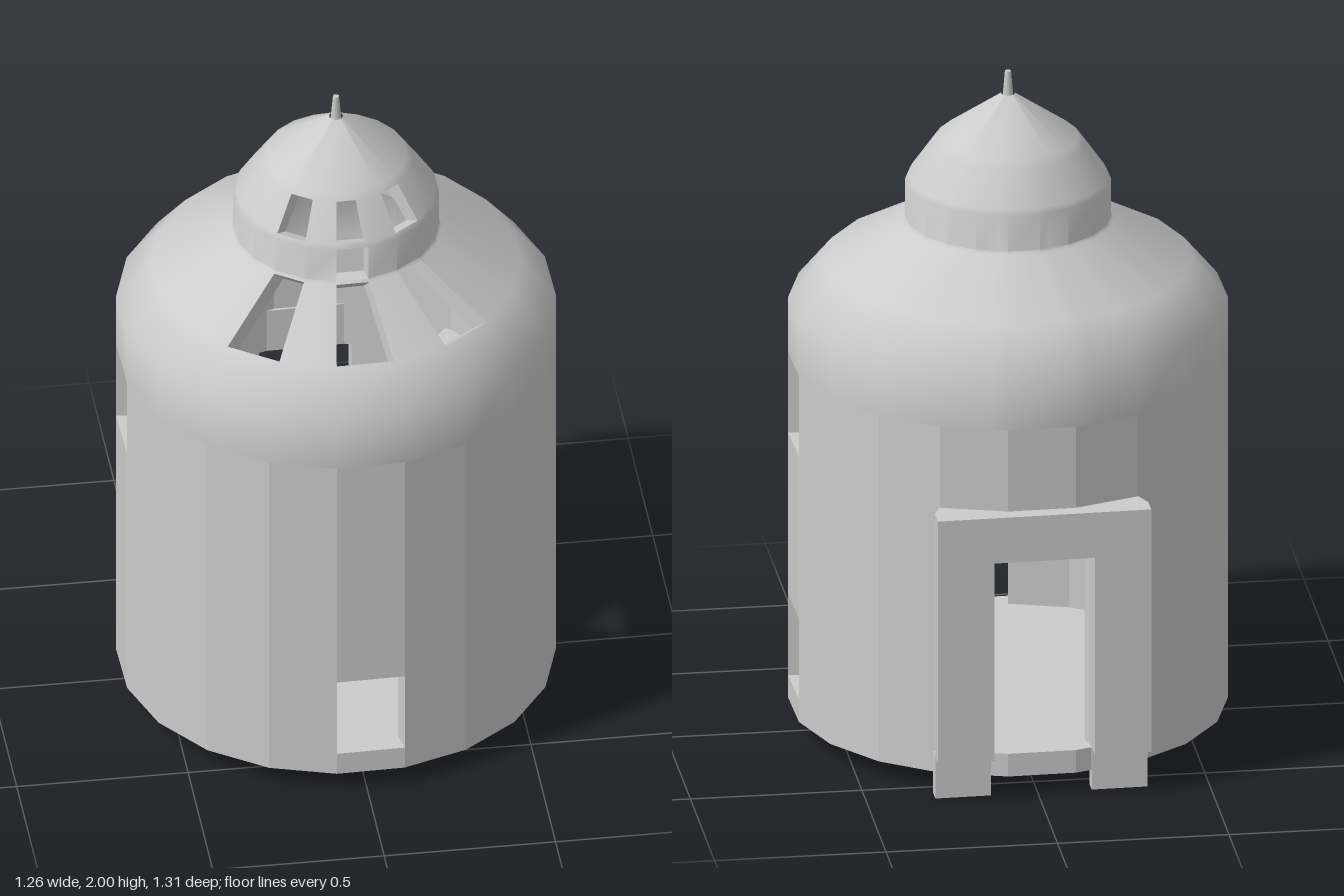
import * as THREE from 'three';
import { toCreasedNormals } from 'three/addons/utils/BufferGeometryUtils.js';

const SIDES = 20, STEP = (Math.PI * 2) / SIDES, DOOR = THREE.MathUtils.degToRad(14);
const material = new THREE.MeshStandardMaterial({ color: 0xcccccc });
const flat = new THREE.MeshStandardMaterial({ color: 0xcccccc, flatShading: true });

// Shell levels: [outer radius, outer y, inner radius, inner y]
const LEVELS = [
  [0.635, 0.13, 0.57, 0.13], [0.635, 0.38, 0.57, 0.38], [0.635, 0.74, 0.57, 0.74],
  [0.635, 0.88, 0.57, 0.88], [0.635, 1.13, 0.57, 1.13], [0.635, 1.3, 0.57, 1.28],
  [0.535, 1.42, 0.485, 1.38], [0.305, 1.547, 0.26, 1.505], [0.298, 1.555, 0.255, 1.555],
  [0.298, 1.665, 0.255, 1.655], [0.29, 1.68, 0.25, 1.665], [0.22, 1.78, 0.18, 1.755],
  [0.205, 1.8, 0.165, 1.775], [0.02, 1.93, 0.01, 1.88],
];

// Column angles: one per facet edge, plus the two door jambs
const ANGLES = [];
for (let i = 0; i <= SIDES; i++) ANGLES.push((i - 0.5) * STEP);
ANGLES.push(Math.PI - DOOR, Math.PI + DOOR);
ANGLES.sort((a, b) => a - b);
const COLUMNS = ANGLES.length - 1;

// Which cells of the shell are openings
function isOpen(level, column) {
  const c = (column + COLUMNS) % COLUMNS;
  const mid = (ANGLES[c] + ANGLES[c + 1]) / 2;
  const facet = Math.round(mid / STEP);
  const front = facet === 0, right = facet === 5, left = facet === 15;
  const fan = front || facet === 2 || facet === 18;
  if (Math.abs(mid - Math.PI) < DOOR && level < 2) return true; // doorway
  if (level === 0) return front || right;                       // lower windows
  if (level === 3) return left || right;                        // upper windows
  if (level === 6 || level === 10) return fan;                  // roof and dome lights
  return level === 8 && front;                                  // small drum window
}

// Point on a flat-sided ring
function ringPoint(radius, angle, y) {
  const off = angle - Math.round(angle / STEP) * STEP;
  const r = (radius * Math.cos(STEP / 2)) / Math.cos(off);
  return [r * Math.sin(angle), y, r * Math.cos(angle)];
}

// Thick shell between two levels, with reveals around its openings
function shell(from, to) {
  const pos = [];
  const quad = (a, b, c, d) => pos.push(...a, ...b, ...c, ...a, ...c, ...d);
  for (let j = from; j < to; j++) {
    for (let c = 0; c < COLUMNS; c++) {
      if (isOpen(j, c)) continue;
      const corner = (level, col, k) => ringPoint(LEVELS[level][k], ANGLES[col], LEVELS[level][k + 1]);
      const [oA, oB, oC, oD] = [corner(j, c, 0), corner(j, c + 1, 0), corner(j + 1, c + 1, 0), corner(j + 1, c, 0)];
      const [iA, iB, iC, iD] = [corner(j, c, 2), corner(j, c + 1, 2), corner(j + 1, c + 1, 2), corner(j + 1, c, 2)];
      quad(oA, oB, oC, oD);
      quad(iB, iA, iD, iC);
      if (isOpen(j, c + 1)) quad(oB, iB, iC, oC);
      if (isOpen(j, c - 1)) quad(iA, oA, oD, iD);
      if (isOpen(j + 1, c)) quad(oD, oC, iC, iD);
      if (j > 0 && isOpen(j - 1, c)) quad(iA, iB, oB, oA);
    }
  }
  const geo = new THREE.BufferGeometry();
  geo.setAttribute('position', new THREE.Float32BufferAttribute(pos, 3));
  geo.computeVertexNormals();
  return geo;
}

export function createModel() {
  const model = new THREE.Group();
  model.name = 'tower';
  const tower = new THREE.Group();
  tower.name = 'towerBody';
  tower.position.z = 0.025;
  tower.rotation.y = 0.018;
  model.add(tower);
  const add = (name, geo, mat = flat) => {
    const mesh = new THREE.Mesh(geo, mat);
    mesh.name = name;
    tower.add(mesh);
    return mesh;
  };

  // Faceted wall, then the smooth shoulder roof, drum and dome
  add('wall', shell(0, 4));
  add('roofAndDome', toCreasedNormals(shell(4, LEVELS.length - 1), 0.75), material);

  // Ground floor slab
  const base = add('groundFloor', new THREE.CylinderGeometry(0.635, 0.635, 0.07, SIDES));
  base.rotation.y = STEP / 2;
  base.position.y = 0.095;

  // Ring balcony, open above the door
  const gap = 0.75, ring = new THREE.Shape();
  ring.absarc(0, 0, 0.575, Math.PI / 2 + gap, Math.PI * 2.5 - gap, false);
  ring.absarc(0, 0, 0.385, Math.PI * 2.5 - gap, Math.PI / 2 + gap, true);
  const balcony = add('balcony', new THREE.ExtrudeGeometry(ring, { depth: 0.05, bevelEnabled: false, curveSegments: 20 }));
  balcony.rotation.x = -Math.PI / 2;
  balcony.position.y = 0.81;

  // Door surround: an upside-down U whose sides narrow toward the wall
  const surround = new THREE.Shape([
    [-0.312, 0.13], [-0.147, 0.13], [-0.147, 0.74], [0.147, 0.74],
    [0.147, 0.13], [0.312, 0.13], [0.312, 0.88], [-0.312, 0.88],
  ].map(([x, y]) => new THREE.Vector2(x, y)));
  const frame = new THREE.ExtrudeGeometry(surround, { depth: 0.12, steps: 2, bevelEnabled: false });
  const p = frame.attributes.position;
  for (let i = 0; i < p.count; i++) {
    if (p.getZ(i) > 0.1 && Math.abs(p.getX(i)) > 0.2) p.setX(i, p.getX(i) * 0.92);
  }
  frame.translate(0, 0, -0.675);
  add('doorFrame', frame);

  // Feet under the door jambs
  for (const side of [-1, 1]) {
    const foot = add('doorFoot', new THREE.BoxGeometry(0.163, 0.13, 0.045));
    foot.position.set(side * 0.2285, 0.065, -0.5925);
  }

  // Spire
  add('spire', new THREE.CylinderGeometry(0.009, 0.016, 0.08, 10), material).position.y = 1.96;
  return model;
}
